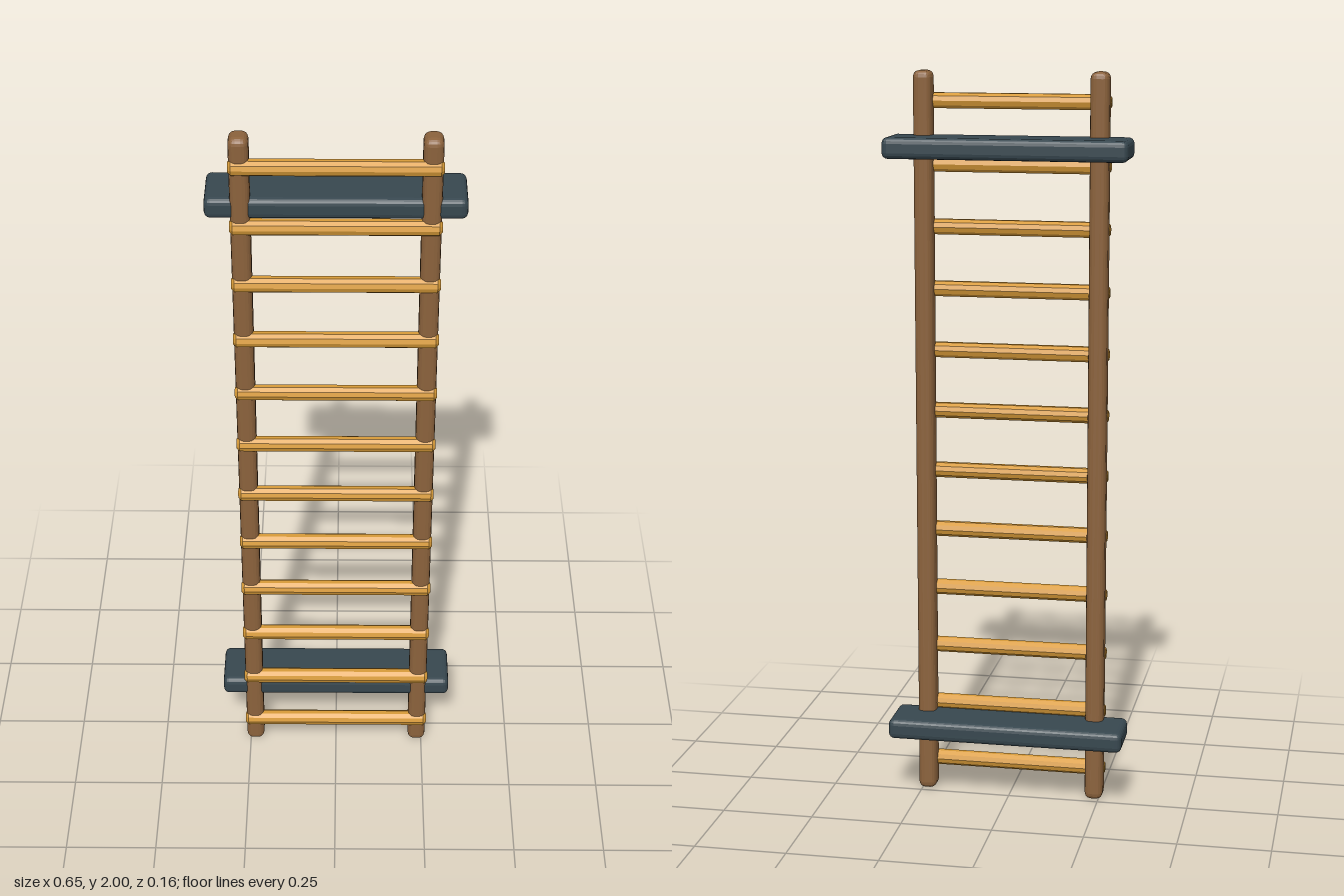
import * as THREE from 'three';
import { RoundedBoxGeometry } from 'three/addons/geometries/RoundedBoxGeometry.js';

function material(name, color) {
  const m = new THREE.MeshStandardMaterial({ color, flatShading: true });
  m.name = name;
  return m;
}

export function createModel() {
  const group = new THREE.Group();
  group.name = 'wallLadder';
  const darkWood = material('brown wood', 0x8b623c);
  const lightWood = material('golden wood', 0xd79a38);
  const slate = material('slate blue', 0x37474f);

  function add(name, geometry, mat, x, y, z) {
    const mesh = new THREE.Mesh(geometry, mat);
    mesh.name = name;
    mesh.position.set(x, y, z);
    group.add(mesh);
    return mesh;
  }

  // Upright rails with softened edges
  const rail = new RoundedBoxGeometry(0.05, 2, 0.063, 2, 0.018);
  add('leftRail', rail, darkWood, 0.236, 1, 0.04);
  add('rightRail', rail, darkWood, -0.236, 1, 0.04);

  // Round rungs with chamfered ends, set into the front of the rails
  const half = 0.263, r = 0.0215, c = 0.008;
  const profile = [
    [0, -half], [r - c, -half], [r, -half + c],
    [r, half - c], [r - c, half], [0, half],
  ].map(([x, y]) => new THREE.Vector2(x, y));
  const rung = new THREE.LatheGeometry(profile, 10);
  rung.rotateZ(Math.PI / 2);
  const count = 12;
  for (let i = 0; i < count; i++) {
    add('rung' + (i + 1), rung, lightWood, 0, 0.08 + (i * 1.84) / (count - 1), 0.059);
  }

  // Mounting boards behind the rails
  const board = new RoundedBoxGeometry(0.65, 0.056, 0.148, 2, 0.016);
  add('lowerBoard', board, slate, 0, 0.203, -0.009);
  add('upperBoard', board, slate, 0, 1.803, -0.009);

  return group;
}
